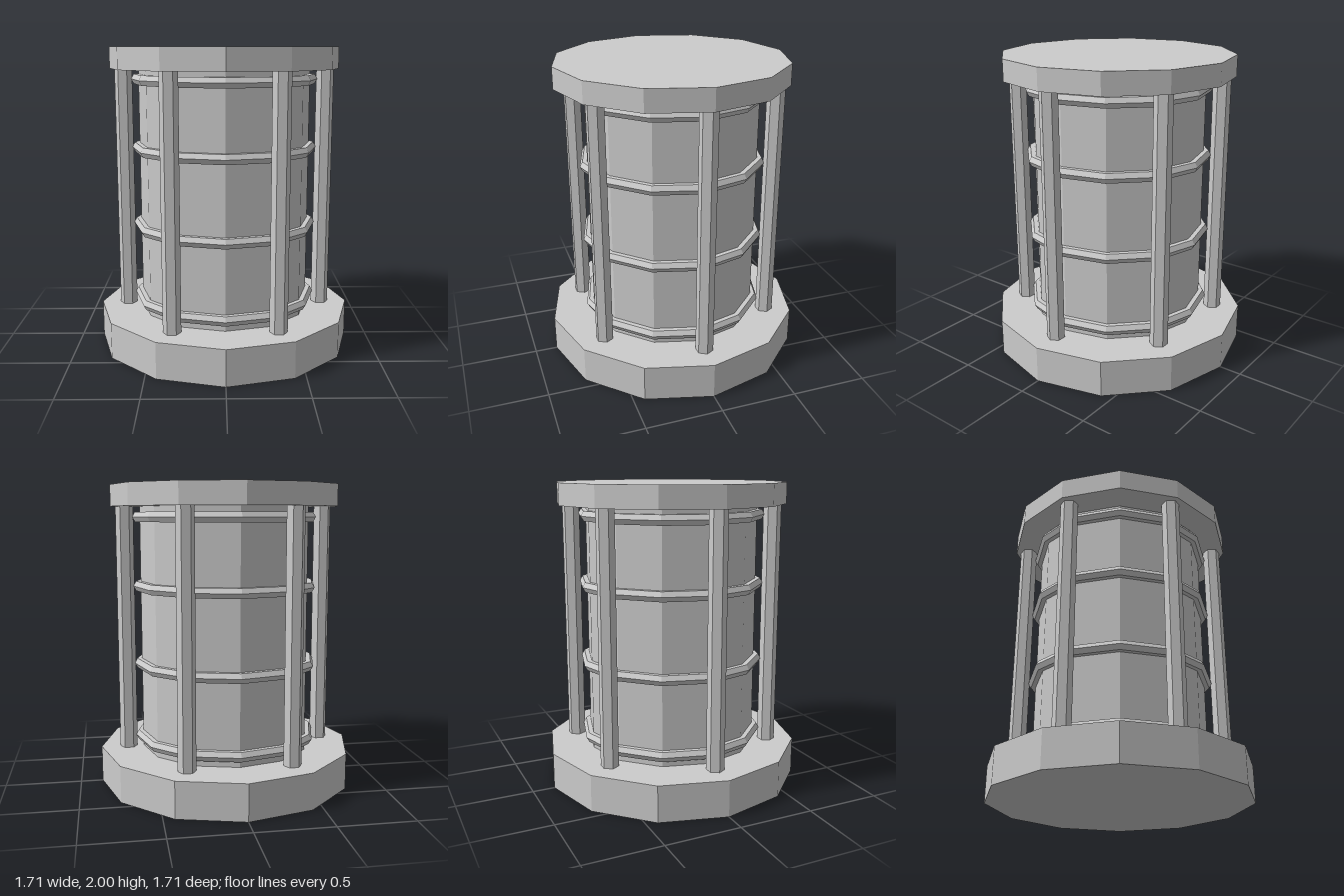
import * as THREE from 'three';

export function createModel() {
  const model = new THREE.Group();
  model.name = 'cagedCylinder';
  const grey = new THREE.MeshStandardMaterial({ color: 0xcccccc, flatShading: true });
  grey.name = 'light grey';

  const add = (name, geometry, x, y, z) => {
    const mesh = new THREE.Mesh(geometry, grey);
    mesh.name = name;
    mesh.position.set(x, y, z);
    model.add(mesh);
    return mesh;
  };
  // Upright prism standing between two heights
  const prism = (name, radius, bottom, top, sides, x = 0, z = 0) =>
    add(name, new THREE.CylinderGeometry(radius, radius, top - bottom, sides), x, (bottom + top) / 2, z);

  // Twelve-sided base, core and lid
  prism('base', 0.855, 0, 0.24, 12);
  prism('core', 0.57, 0.24, 1.86, 12);
  prism('lid', 0.76, 1.86, 2, 12);

  // Six hexagonal posts around the core
  for (let i = 0; i < 6; i++) {
    const a = (i * Math.PI) / 3;
    const post = prism('post' + (i + 1), 0.058, 0.24, 1.86, 6, 0.67 * Math.cos(a), 0.67 * Math.sin(a));
    post.rotation.y = Math.PI / 6;
  }

  // Bands hugging the core
  [0.316, 0.816, 1.338, 1.792].forEach((y, i) => {
    const ring = add('ring' + (i + 1), new THREE.TorusGeometry(0.583, 0.037, 6, 12), 0, y, 0);
    ring.rotation.x = Math.PI / 2;
  });

  return model;
}
